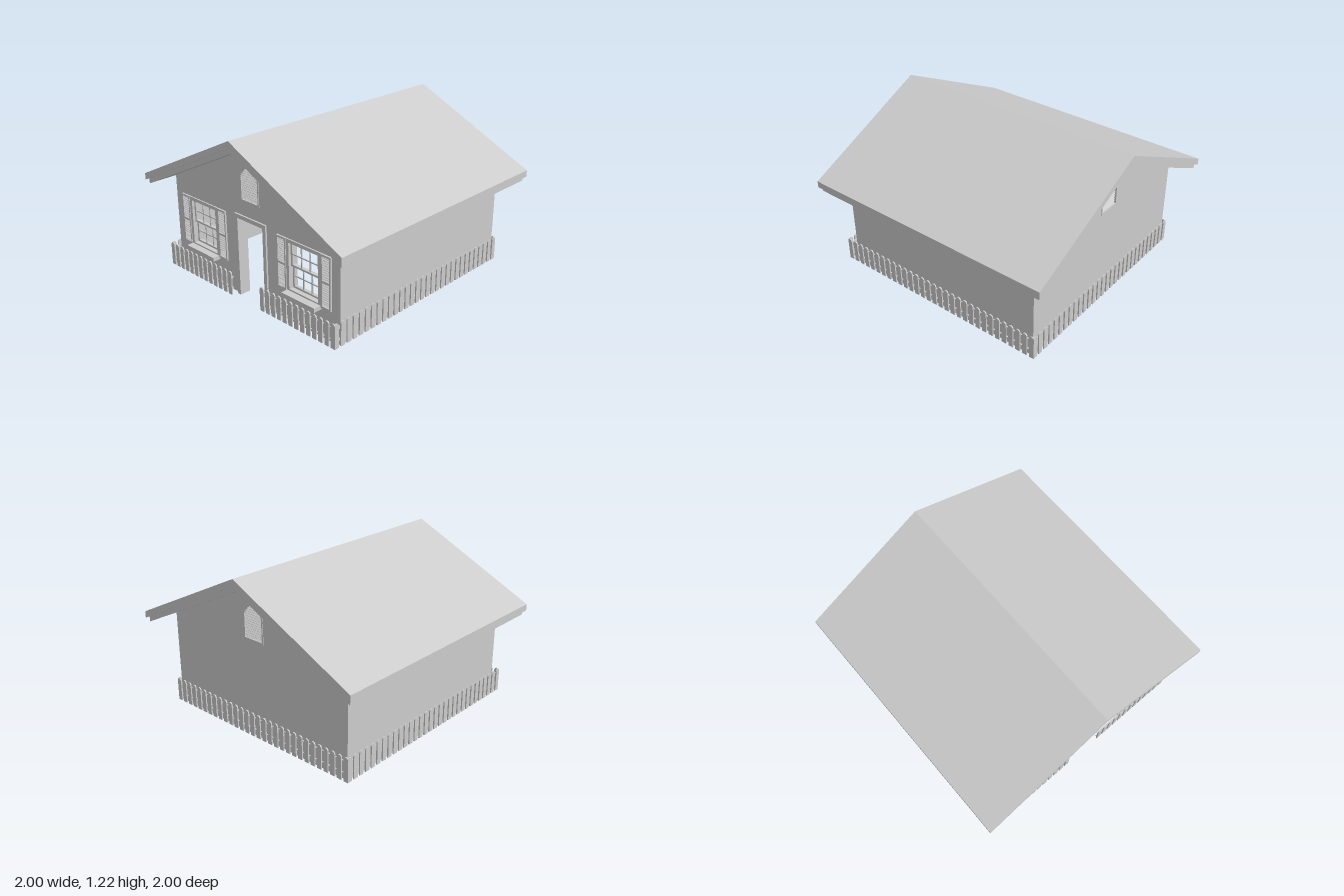
import * as THREE from 'three';

const mat = new THREE.MeshStandardMaterial({ color: 0xcccccc, flatShading: true });
const WALL = 0.84, THICK = 0.06, SLOPE = 0.48;

function add(parent, name, geo, x = 0, y = 0, z = 0) {
  const m = new THREE.Mesh(geo, mat);
  m.name = name;
  m.position.set(x, y, z);
  parent.add(m);
  return m;
}

// Box given by its lower and upper limits
function box(parent, name, x0, x1, y0, y1, z0, z1) {
  return add(parent, name, new THREE.BoxGeometry(x1 - x0, y1 - y0, z1 - z0),
    (x0 + x1) / 2, (y0 + y1) / 2, (z0 + z1) / 2);
}

function polygon(points, Type = THREE.Shape) {
  return new Type(points.map(p => new THREE.Vector2(...p)));
}

function rectPath(u0, u1, v0, v1, Type = THREE.Path) {
  return polygon([[u0, v0], [u1, v0], [u1, v1], [u0, v1]], Type);
}

// Round-topped outline used by the pickets and gable vents
function archPath(w, y0, y1, Type = THREE.Path) {
  const p = new Type();
  p.moveTo(-w, y0);
  p.lineTo(w, y0);
  p.lineTo(w, y1 - w);
  p.absarc(0, y1 - w, w, 0, Math.PI, false);
  p.closePath();
  return p;
}

// Shape drawn in (z, y), extruded along x from x0 to x1
function extrudeX(shape, x0, x1) {
  return new THREE.ExtrudeGeometry(shape, { depth: x1 - x0, bevelEnabled: false, curveSegments: 8 })
    .rotateY(Math.PI / 2).translate(x0, 0, 0);
}

// One sloped double roof layer
function roofLayer(parent, name, halfX, halfZ, top, bottom) {
  const d = SLOPE * halfZ;
  const s = polygon([[-halfZ, bottom - d], [0, bottom], [halfZ, bottom - d],
    [halfZ, top - d], [0, top], [-halfZ, top - d]]);
  add(parent, name, extrudeX(s, -halfX, halfX));
}

// Arched louvred vent, set in a gable
function gableVent(parent, side) {
  const g = new THREE.Group();
  g.name = 'gableVent';
  const frame = archPath(0.094, 0.738, 1.004, THREE.Shape);
  frame.holes.push(archPath(0.082, 0.75, 0.992));
  add(g, 'ventFrame', extrudeX(frame, 0.79, 0.844));
  const n = 14, step = 0.242 / n;
  for (let i = 0; i < n; i++) {
    const y = 0.75 + (i + 0.5) * step;
    const rise = Math.max(0, y - 0.91);
    const w = Math.sqrt(Math.max(0.0001, 0.084 ** 2 - rise ** 2));
    const slat = add(g, 'ventSlat', new THREE.BoxGeometry(0.026, 0.004, 2 * w), 0.825, y, 0);
    slat.rotation.z = -0.75;
  }
  if (side < 0) g.rotation.y = Math.PI;
  parent.add(g);
}

// Framed shutter with slats
function shutter(parent, z) {
  const g = new THREE.Group();
  g.name = 'shutter';
  const f = rectPath(-0.043, 0.043, 0.22, 0.605, THREE.Shape);
  f.holes.push(rectPath(-0.032, 0.032, 0.235, 0.405), rectPath(-0.032, 0.032, 0.42, 0.59));
  add(g, 'shutterFrame', extrudeX(f, -0.853, -WALL));
  for (let i = 0; i < 22; i++) {
    const slat = add(g, 'shutterSlat', new THREE.BoxGeometry(0.012, 0.003, 0.066), -0.845, 0.243 + i * 0.0162, 0);
    slat.rotation.z = 0.6;
  }
  g.position.z = z;
  parent.add(g);
}

// Double-hung window with glazing bars, sill and a pair of shutters
function windowUnit(parent, z) {
  const g = new THREE.Group();
  g.name = 'window';
  const trim = rectPath(-0.16, 0.16, 0.215, 0.605, THREE.Shape);
  trim.holes.push(rectPath(-0.135, 0.135, 0.24, 0.58));
  add(g, 'windowFrame', extrudeX(trim, -0.85, -0.772));
  [[0.24, 0.415, -0.806], [0.405, 0.58, -0.822]].forEach(([y0, y1, x]) => {
    const sash = rectPath(-0.136, 0.136, y0, y1, THREE.Shape);
    sash.holes.push(rectPath(-0.12, 0.12, y0 + 0.014, y1 - 0.014));
    add(g, 'sash', extrudeX(sash, x - 0.008, x + 0.008));
    for (const u of [-0.04, 0.04]) box(g, 'glazingBar', x - 0.004, x + 0.004, y0, y1, u - 0.004, u + 0.004);
    const mid = (y0 + y1) / 2;
    box(g, 'glazingBar', x - 0.004, x + 0.004, mid - 0.004, mid + 0.004, -0.125, 0.125);
  });
  box(g, 'windowSill', -0.905, -0.83, 0.2, 0.23, -0.155, 0.155);
  shutter(g, -0.206);
  shutter(g, 0.206);
  g.position.z = z;
  parent.add(g);
}

// Straight picket fence along local x, pickets facing local +z
const picketGeo = new THREE.ExtrudeGeometry(archPath(0.0185, 0.015, 0.195, THREE.Shape),
  { depth: 0.01, bevelEnabled: false, curveSegments: 5 });
function fence(parent, name, length) {
  const g = new THREE.Group();
  g.name = name;
  const n = Math.round((length - 0.037) / 0.058);
  for (let i = 0; i <= n; i++) {
    add(g, 'picket', picketGeo, -length / 2 + 0.0185 + i * (length - 0.037) / n, 0, 0);
  }
  for (const y of [0.062, 0.15]) box(g, 'rail', -length / 2, length / 2, y - 0.008, y + 0.008, -0.01, 0);
  parent.add(g);
  return g;
}

export function createModel() {
  const model = new THREE.Group();
  model.name = 'house';

  // Roof and ceiling
  roofLayer(model, 'roof', 1, 1, 1.22, 1.17);
  roofLayer(model, 'roofTrim', 0.98, 0.98, 1.175, 1.13);
  box(model, 'ceiling', -0.79, 0.79, 0.745, 0.755, -0.79, 0.79);

  // Long side walls
  for (const s of [-1, 1]) {
    const m = box(model, 'sideWall', -WALL + THICK, WALL - THICK, 0.015, 0.74, WALL - THICK, WALL);
    m.position.z *= s;
  }

  // Gable walls: plain at one end, door and windows at the other
  for (const s of [-1, 1]) {
    const y0 = s < 0 ? 0.005 : 0.015;
    const door = s < 0 ? [[-0.14, y0], [-0.14, 0.61], [0.14, 0.61], [0.14, y0]] : [];
    const shape = polygon([[-WALL, y0], ...door, [WALL, y0], [WALL, 0.74], [0, 1.14], [-WALL, 0.74]]);
    shape.holes.push(archPath(0.09, 0.742, 1.0));
    if (s < 0) for (const z of [-0.515, 0.515]) {
      shape.holes.push(rectPath(z - 0.14, z + 0.14, 0.235, 0.585));
    }
    const x = s < 0 ? -WALL : WALL - THICK;
    add(model, 'gableWall', extrudeX(shape, x, x + THICK));
    gableVent(model, s);
  }
  windowUnit(model, -0.515);
  windowUnit(model, 0.515);

  // Door frame
  const jamb = polygon([[-0.16, 0], [-0.13, 0], [-0.13, 0.6], [0.13, 0.6], [0.13, 0],
    [0.16, 0], [0.16, 0.63], [-0.16, 0.63]]);
  add(model, 'doorFrame', extrudeX(jamb, -0.853, -0.767));

  // Fences
  fence(model, 'frontFence', 1.775).position.set(-0.0275, 0, 0.852);
  const back = fence(model, 'backFence', 1.775);
  back.position.set(-0.0275, 0, -0.852);
  back.rotation.y = Math.PI;
  const left = fence(model, 'leftFence', 1.724);
  left.position.x = 0.852;
  left.rotation.y = Math.PI / 2;
  for (const s of [-1, 1]) {
    const f = fence(model, 'entranceFence', 0.71);
    f.position.set(-0.905, 0, s * 0.507);
    f.rotation.y = -Math.PI / 2;
  }
  return model;
}
